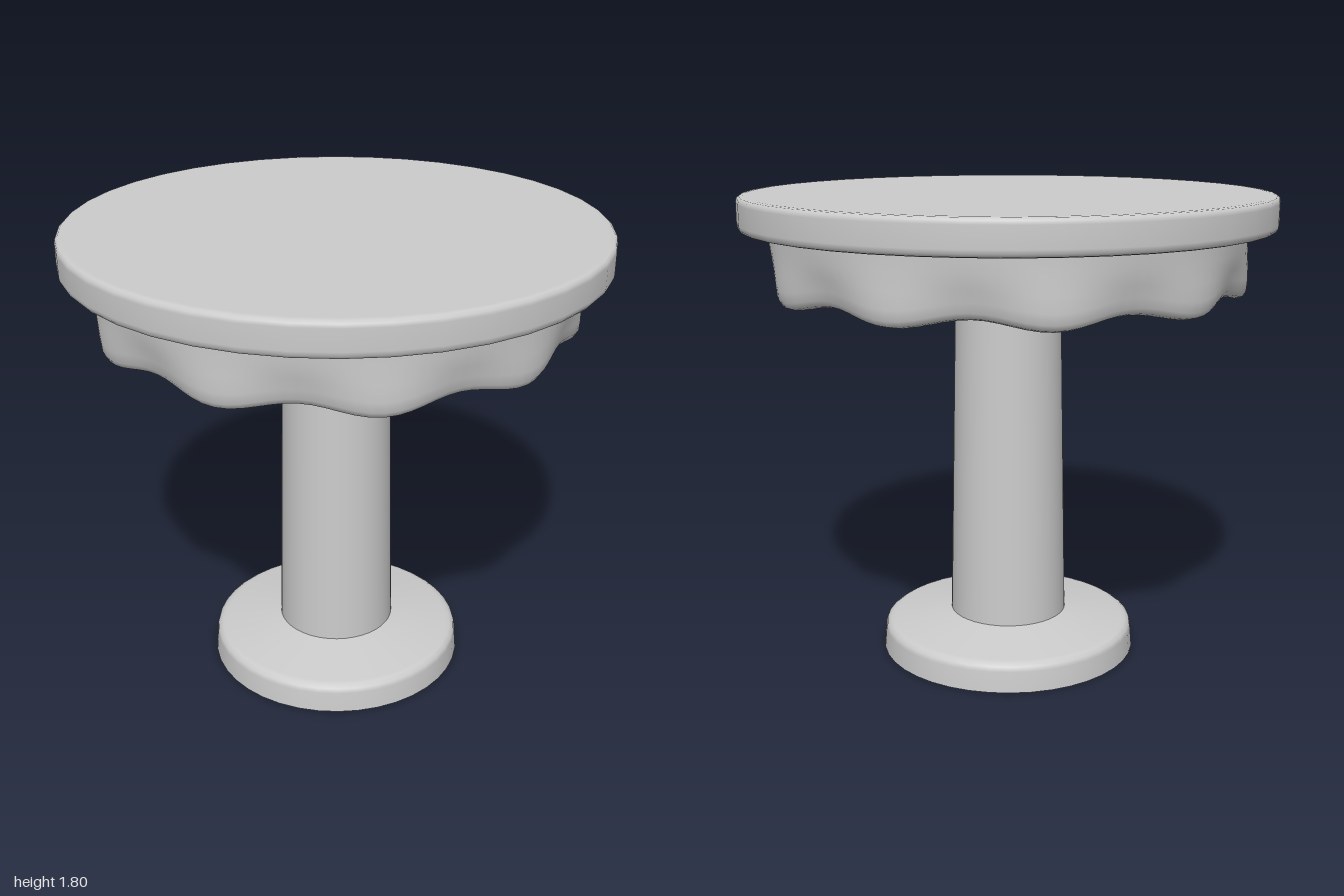
import * as THREE from 'three';
import { mergeVertices } from 'three/addons/utils/BufferGeometryUtils.js';

const material = new THREE.MeshStandardMaterial({ color: 0xcccccc, side: THREE.DoubleSide });

// Profiles run from the underside outward and up, as [radius, height]
function lathe(profile, segments) {
  return new THREE.LatheGeometry(profile.map(([r, y]) => new THREE.Vector2(r, y)), segments);
}

// Ten scallops: lower parts drop and flare at each lobe, lift and tuck in between
function scallop(geometry) {
  const p = geometry.attributes.position;
  for (let i = 0; i < p.count; i++) {
    const x = p.getX(i), y = p.getY(i), z = p.getZ(i);
    const wave = Math.cos(10 * Math.atan2(z, x));
    const weight = THREE.MathUtils.smoothstep(1.64 - y, 0, 0.17);
    const r = Math.hypot(x, z);
    const k = r > 0.3 ? 1 + (0.016 * wave * weight) / r : 1;
    p.setXYZ(i, x * k, y - 0.018 * wave * weight, z * k);
  }
  geometry.deleteAttribute('uv');
  geometry.deleteAttribute('normal');
  const welded = mergeVertices(geometry, 1e-4);
  welded.computeVertexNormals();
  return welded;
}

export function createModel() {
  const group = new THREE.Group();
  const add = (name, geometry) => {
    const mesh = new THREE.Mesh(geometry, material);
    mesh.name = name;
    group.add(mesh);
  };

  // Hollow foot, open underneath
  add('base', lathe([
    [0.5, 0], [0.493, 0.08], [0.488, 0.098], [0.472, 0.109], [0.455, 0.112], [0.225, 0.15],
  ], 40));

  // Tapered open tube
  add('column', new THREE.CylinderGeometry(0.197, 0.228, 1.52, 40, 1, true).translate(0, 0.91, 0));

  // Round top with softened rim and a very slight dome
  add('tabletop', lathe([
    [0.86, 1.672], [0.975, 1.672], [0.99, 1.676], [0.998, 1.686], [1, 1.7],
    [1, 1.775], [0.997, 1.788], [0.988, 1.796], [0.97, 1.798], [0, 1.805],
  ], 40));

  // Wavy skirt with a thick rounded lip
  add('skirt', scallop(lathe([
    [0.81, 1.57], [0.802, 1.51], [0.806, 1.47], [0.82, 1.447], [0.843, 1.438],
    [0.863, 1.445], [0.876, 1.465], [0.88, 1.5], [0.885, 1.55], [0.888, 1.61], [0.89, 1.675],
  ], 120)));

  // Sloping underside between the lip and the column
  add('underside', scallop(lathe([[0.19, 1.67], [0.81, 1.57]], 120)));

  return group;
}
